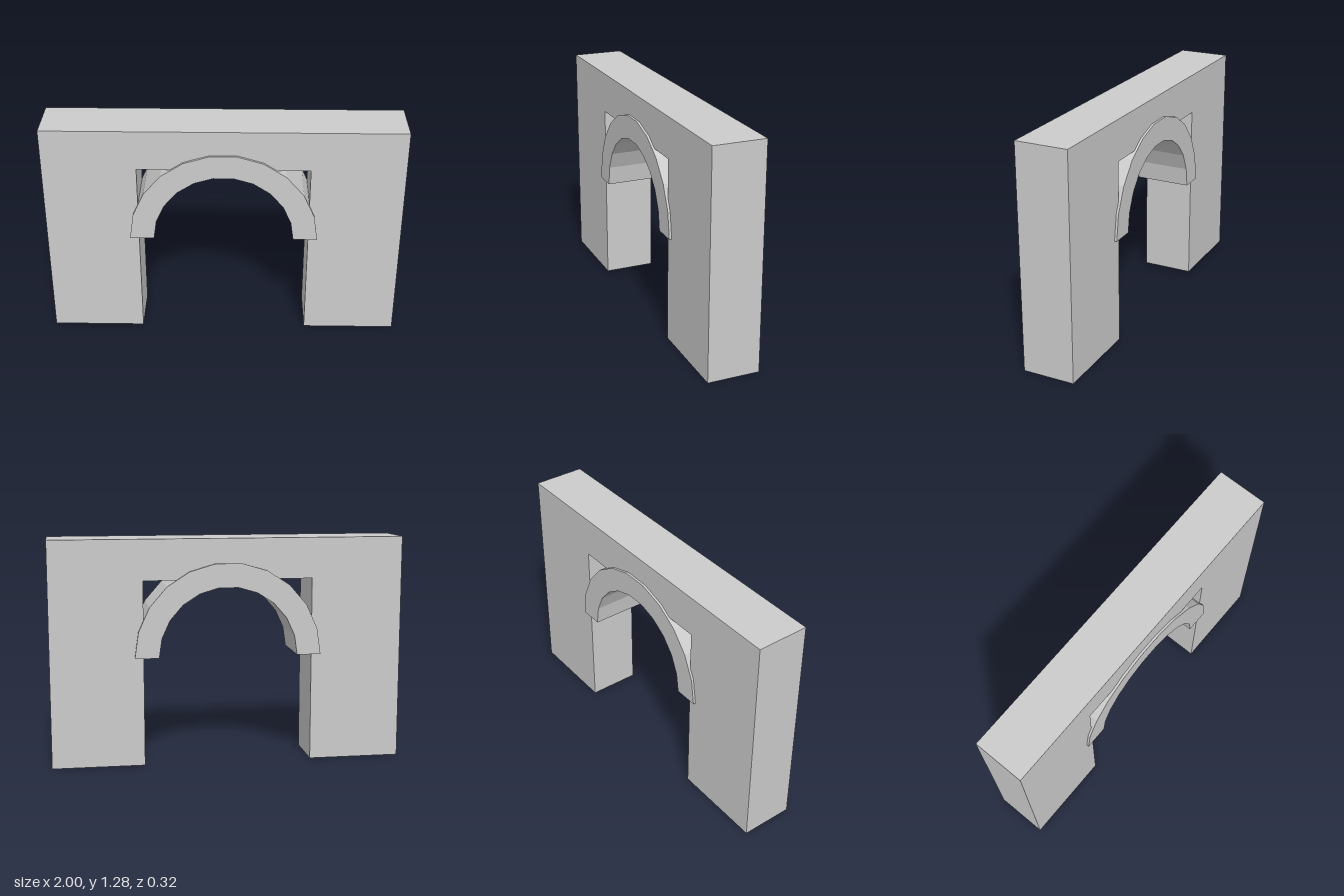
import * as THREE from 'three';

const material = new THREE.MeshStandardMaterial({ color: 0xcccccc, flatShading: true });

// Extrudes an outline of [x, y] corners, centred on z = 0
function slab(name, corners, depth) {
  const shape = new THREE.Shape(corners.map(([x, y]) => new THREE.Vector2(x, y)));
  const geometry = new THREE.ExtrudeGeometry(shape, { depth, bevelEnabled: false });
  geometry.translate(0, 0, -depth / 2);
  const mesh = new THREE.Mesh(geometry, material);
  mesh.name = name;
  return mesh;
}

// Corners along a faceted half circle, from +x to -x
function halfCircle(radius, centreY, segments) {
  return Array.from({ length: segments + 1 }, (_, i) => {
    const a = (Math.PI * i) / segments;
    return [radius * Math.cos(a), centreY + radius * Math.sin(a)];
  });
}

export function createModel() {
  const model = new THREE.Group();
  model.name = 'archway';

  // Wall with a square-headed opening
  const open = 0.478, head = 1.05, top = 1.28;
  model.add(slab('wall', [
    [-1, 0], [-open, 0], [-open, head], [open, head],
    [open, 0], [1, 0], [1, top], [-1, top],
  ], 0.296));

  // Faceted arch ring, slightly proud of both wall faces
  const spring = 0.616, segments = 11;
  model.add(slab('archRing', [
    ...halfCircle(0.529, spring, segments),
    ...halfCircle(0.393, spring, segments).reverse(),
  ], 0.323));

  return model;
}
